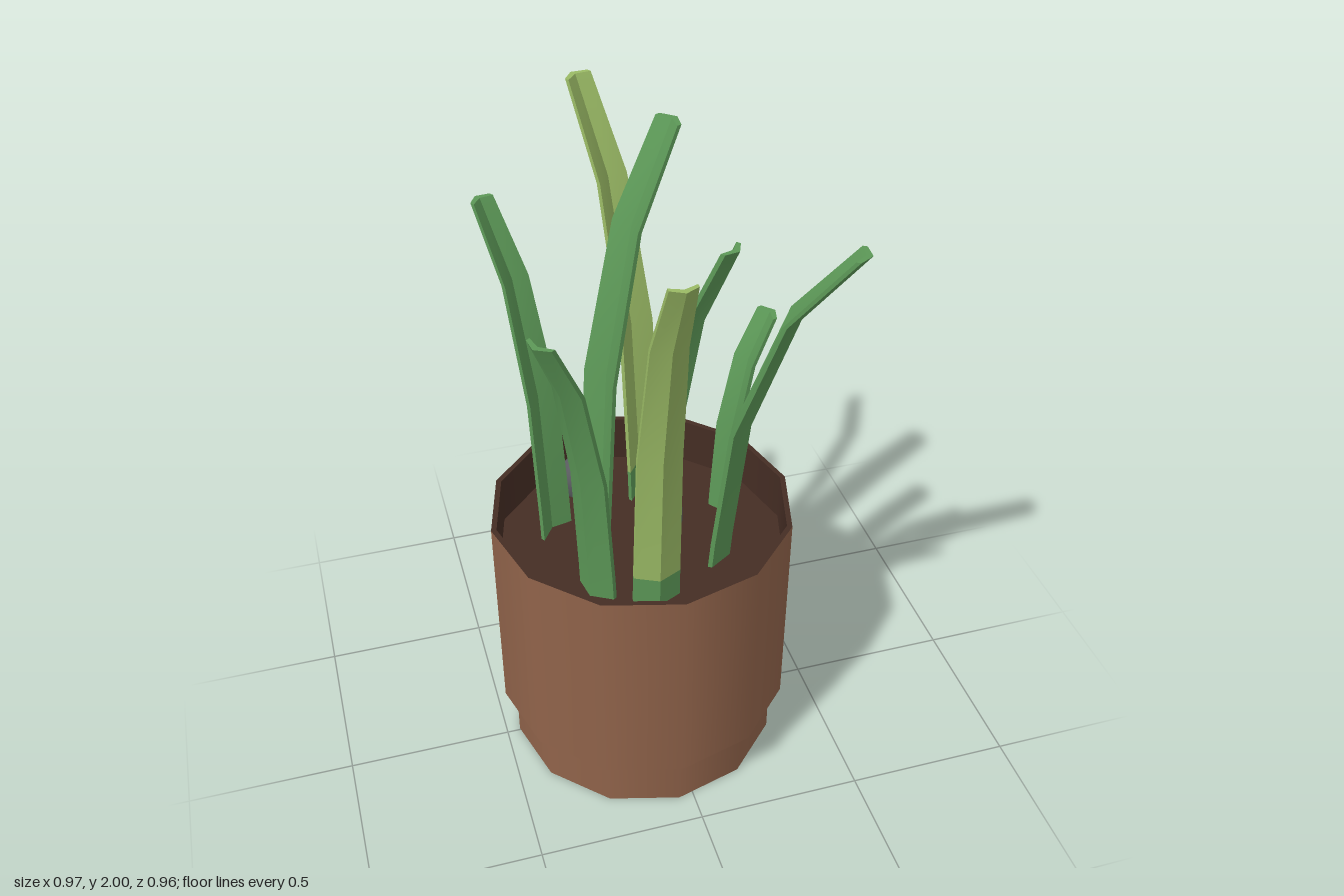
import * as THREE from 'three';
import { toCreasedNormals } from 'three/addons/utils/BufferGeometryUtils.js';

const CX = -0.045, CZ = -0.005, SOIL_Y = 0.7;

function material(name, color, side = THREE.FrontSide) {
  const m = new THREE.MeshStandardMaterial({ color, side });
  m.name = name;
  return m;
}

// Channel-shaped leaf: a V section swept from base to tip, with a blunt end
function leafGeometry(base, tip, height, wBase, wTip) {
  const dx = tip[0] - base[0], dz = tip[1] - base[1];
  const reach = Math.hypot(dx, dz);
  const v = [dx / reach, dz / reach], u = [-v[1], v[0]];
  // height fraction, share of the lean, taper
  const rows = [[0, 0, 0], [0.09, 0.02, 0.03], [0.46, 0.14, 0.18], [0.8, 0.5, 0.58], [1, 1, 1]];
  const positions = [], index = [];
  for (const [h, lean, taper] of rows) {
    const w = THREE.MathUtils.lerp(wBase, wTip, taper);
    const section = [[-w, 0], [0, 0.4 * w], [w, 0], [w, 0.013], [0, 0.4 * w + 0.018], [-w, 0.013]];
    for (const [a, b] of section) {
      const out = lean * reach + b - 0.01;
      positions.push(
        base[0] + u[0] * a + v[0] * out,
        SOIL_Y - 0.01 + h * (height - SOIL_Y + 0.01),
        base[1] + u[1] * a + v[1] * out);
    }
  }
  for (let r = 0; r < rows.length - 1; r++) {
    for (let i = 0; i < 6; i++) {
      const a = r * 6 + i, b = r * 6 + (i + 1) % 6;
      index.push(a, b, b + 6, a, b + 6, a + 6);
    }
  }
  const t = (rows.length - 1) * 6;
  index.push(t, t + 1, t + 4, t, t + 4, t + 5, t + 1, t + 2, t + 3, t + 1, t + 3, t + 4);
  const g = new THREE.BufferGeometry();
  g.setAttribute('position', new THREE.Float32BufferAttribute(positions, 3));
  g.setIndex(index);
  g.addGroup(0, 36, 0); // foot of the leaf
  g.addGroup(36, index.length - 36, 1); // blade
  return toCreasedNormals(g, 0.6);
}

export function createModel() {
  const root = new THREE.Group();
  root.name = 'pottedPlant';
  const clay = material('clay', 0x90634a);
  const soil = material('soil', 0x452d24, THREE.DoubleSide);
  const green = material('leafGreen', 0x5c9857);
  const lime = material('leafLime', 0x9aba65);
  const stone = material('stone', 0x5a5c60);

  const add = (name, geometry, mat, x, y, z) => {
    const mesh = new THREE.Mesh(geometry, mat);
    mesh.name = name;
    mesh.position.set(x, y, z);
    root.add(mesh);
    return mesh;
  };
  const disc = (name, inner, outer, mat, y, up) => {
    const g = inner ? new THREE.RingGeometry(inner, outer, 12) : new THREE.CircleGeometry(outer, 12);
    add(name, g.rotateX(up ? -Math.PI / 2 : Math.PI / 2), mat, CX, y, CZ);
  };

  // Pot: narrow foot, wide body, thin rim and dark inside
  const tube = (r, h) => new THREE.CylinderGeometry(r, r, h, 12, 1, true);
  add('potFoot', tube(0.414, 0.175), clay, CX, 0.0875, CZ);
  add('potBody', tube(0.45, 0.675), clay, CX, 0.5125, CZ);
  add('potInside', tube(0.434, 0.16), soil, CX, 0.77, CZ);
  disc('potBottom', 0, 0.414, clay, 0, false);
  disc('potStep', 0.41, 0.45, clay, 0.175, false);
  disc('potRim', 0.434, 0.45, soil, 0.85, true);
  disc('soil', 0, 0.436, soil, SOIL_Y, true);

  // Leaves: base [x, z], tip [x, z], height, half widths at base and tip, blade colour
  const leaves = [
    ['backLeaf', [0.032, -0.243], [-0.092, -0.45], 2.0, 0.068, 0.042, lime],
    ['frontLeaf', [-0.07, 0.24], [-0.071, 0.46], 1.855, 0.069, 0.037, lime],
    ['centreLeaf', [-0.18, -0.04], [0.075, -0.143], 1.985, 0.071, 0.045, green],
    ['frontLeftLeaf', [0.16, 0.1], [0.45, 0.287], 1.765, 0.075, 0.044, green],
    ['sideLeaf', [0.225, -0.07], [0.36, -0.104], 1.38, 0.053, 0.04, green],
    ['middleLeaf', [-0.02, 0.125], [0.107, 0.278], 1.83, 0.06, 0.036, green],
    ['frontRightLeaf', [-0.225, 0.162], [-0.375, 0.268], 1.635, 0.064, 0.042, green],
    ['backRightLeaf', [-0.28, -0.133], [-0.4, -0.31], 1.745, 0.06, 0.036, green],
  ];
  for (const [name, base, tip, height, wBase, wTip, blade] of leaves) {
    add(name, leafGeometry(base, tip, height, wBase, wTip), [green, blade], 0, 0, 0);
  }

  // Two rounded stones lying on the soil
  for (const [name, x, z, turn] of [['backStone', -0.168, -0.302, 0.5], ['middleStone', 0.04, -0.045, -0.5]]) {
    const s = add(name, new THREE.SphereGeometry(1, 7, 5), stone, x, 0.74, z);
    s.scale.set(0.056, 0.08, 0.076);
    s.rotation.y = turn;
  }
  return root;
}
